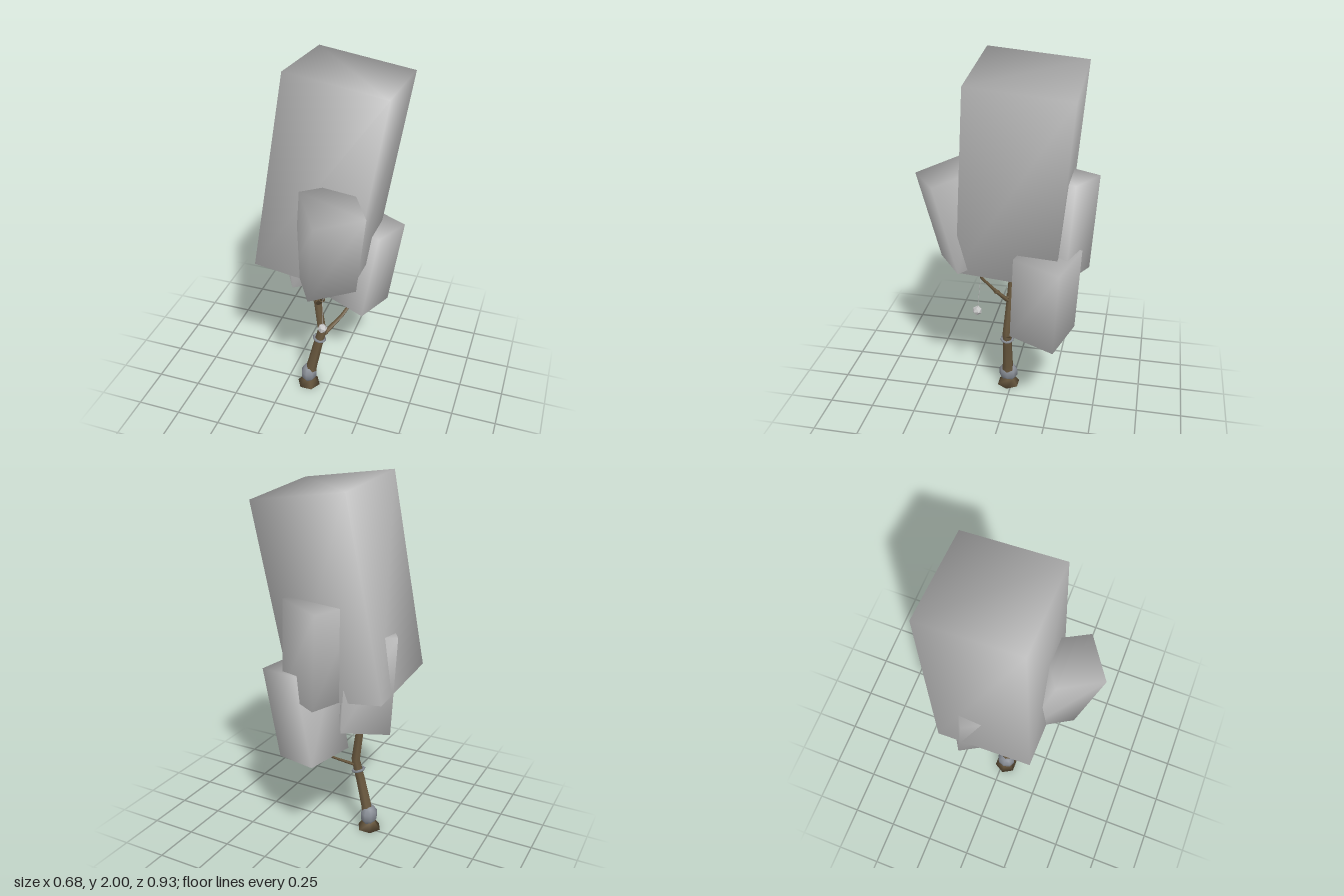
import * as THREE from 'three';
import { mergeVertices } from 'three/addons/utils/BufferGeometryUtils.js';

const V = (a) => new THREE.Vector3(...a);

export function createModel() {
  const tree = new THREE.Group();
  tree.name = 'tree';
  const foliage = new THREE.MeshStandardMaterial({ name: 'foliage grey', color: 0xc4c4c4 });
  const bark = new THREE.MeshStandardMaterial({ name: 'bark brown', color: 0x6b5a40 });
  const stone = new THREE.MeshStandardMaterial({ name: 'stone grey', color: 0x878c94 });

  function add(name, geometry, material, position = [0, 0, 0]) {
    const mesh = new THREE.Mesh(geometry, material);
    mesh.name = name;
    mesh.position.set(...position);
    tree.add(mesh);
    return mesh;
  }

  // Soft-shaded leaf block: one top corner, two top edges and the upward edge
  function leafBlock(name, corner, edgeA, edgeB, upEdge) {
    let a = V(edgeA), b = V(edgeB);
    const up = V(upEdge);
    if (a.clone().cross(up).dot(b) < 0) [a, b] = [b, a];
    const centre = V(corner).addScaledVector(a, 0.5).addScaledVector(b, 0.5).addScaledVector(up, -0.5);
    const box = new THREE.BoxGeometry(1, 1, 1);
    box.deleteAttribute('normal');
    box.deleteAttribute('uv');
    const geometry = mergeVertices(box);
    geometry.applyMatrix4(new THREE.Matrix4().makeBasis(a, up, b).setPosition(centre));
    geometry.computeVertexNormals();
    add(name, geometry, foliage);
  }

  // Tapering limb with level rings; each station is [x, y, z, radius]
  function limb(name, stations, sides = 6) {
    const pos = [], index = [];
    for (const [x, y, z, r] of stations) {
      for (let i = 0; i < sides; i++) {
        const t = (i / sides) * Math.PI * 2;
        pos.push(x + r * Math.cos(t), y, z + r * Math.sin(t));
      }
    }
    for (let k = 0; k < stations.length - 1; k++) {
      for (let i = 0; i < sides; i++) {
        const j = (i + 1) % sides;
        const p = k * sides + i, q = k * sides + j;
        index.push(p, p + sides, q, q, p + sides, q + sides);
      }
    }
    // End caps
    const top = (stations.length - 1) * sides;
    for (let i = 1; i < sides - 1; i++) {
      index.push(0, i, i + 1, top, top + i + 1, top + i);
    }
    const geometry = new THREE.BufferGeometry();
    geometry.setAttribute('position', new THREE.Float32BufferAttribute(pos, 3));
    geometry.setIndex(index);
    geometry.computeVertexNormals();
    add(name, geometry, bark);
  }

  // Crown
  leafBlock('mainCrown', [-0.18, 2.0, 0.14], [0.513, -0.07, 0.005], [0, -0.045, -0.517], [0.147, 1.03, -0.095]);
  leafBlock('frontCrown', [0.08, 1.4, 0.465], [0.21, 0.01, -0.145], [-0.145, 0.06, -0.21], [0.07, 0.5, 0.1]);
  leafBlock('lowCrown', [0.335, 1.015, -0.32], [-0.245, 0.029, -0.085], [-0.085, 0.026, 0.245], [0.07, 0.505, -0.03]);
  leafBlock('backCrown', [-0.065, 1.4, -0.465], [0.235, 0.024, 0.1], [-0.1, 0.006, 0.235], [-0.04, 0.51, -0.03]);
  leafBlock('sideCrown', [-0.34, 1.23, -0.13], [0.215, 0.017, -0.13], [0.13, -0.019, 0.22], [-0.01, 0.505, 0.05]);

  // Trunk and branches
  limb('trunk', [
    [-0.12, 0, 0.02, 0.068], [-0.118, 0.04, 0.02, 0.038], [-0.1, 0.14, 0.02, 0.032],
    [-0.065, 0.3, 0.016, 0.028], [-0.036, 0.42, 0.012, 0.026], [-0.065, 0.6, 0, 0.023],
    [-0.064, 0.75, -0.006, 0.015], [-0.06, 0.95, -0.01, 0.01],
  ]);
  limb('lowBranch', [[-0.03, 0.39, 0.005, 0.018], [0.045, 0.465, -0.1, 0.012], [0.1, 0.55, -0.19, 0.008]]);
  limb('leftBranch', [[-0.07, 0.6, 0, 0.015], [-0.11, 0.66, -0.01, 0.01], [-0.16, 0.74, -0.03, 0.007]]);
  limb('frontBranch', [
    [-0.06, 0.61, 0.01, 0.018], [-0.015, 0.69, 0.07, 0.013], [0.015, 0.78, 0.14, 0.009], [0.045, 0.92, 0.18, 0.006],
  ]);

  // Collars on the trunk and front branch
  const trunkRing = add('trunkRing', new THREE.TorusGeometry(0.032, 0.008, 5, 10), stone, [-0.053, 0.36, 0.014]);
  trunkRing.rotation.set(Math.PI / 2, -0.25, 0);
  const branchRing = add('branchRing', new THREE.TorusGeometry(0.014, 0.005, 5, 8), bark, [-0.018, 0.685, 0.066]);
  branchRing.rotation.set(Math.PI / 2, 0, 0);
  add('trunkKnot', new THREE.IcosahedronGeometry(0.026, 0), bark, [-0.068, 0.635, 0]);

  // Stone lodged at the foot
  const rockGeometry = new THREE.SphereGeometry(0.06, 8, 5);
  rockGeometry.scale(0.8, 1, 0.95);
  add('footStone', rockGeometry, stone, [-0.118, 0.082, 0.02]);

  // Pendant hanging from the front branch
  const cord = add('pendantCord', new THREE.CylinderGeometry(0.0015, 0.0015, 0.19, 4), foliage, [0.018, 0.69, 0.158]);
  cord.rotation.x = -0.1;
  add('pendant', new THREE.IcosahedronGeometry(0.028, 0), foliage, [0.02, 0.575, 0.17]);

  return tree;
}
